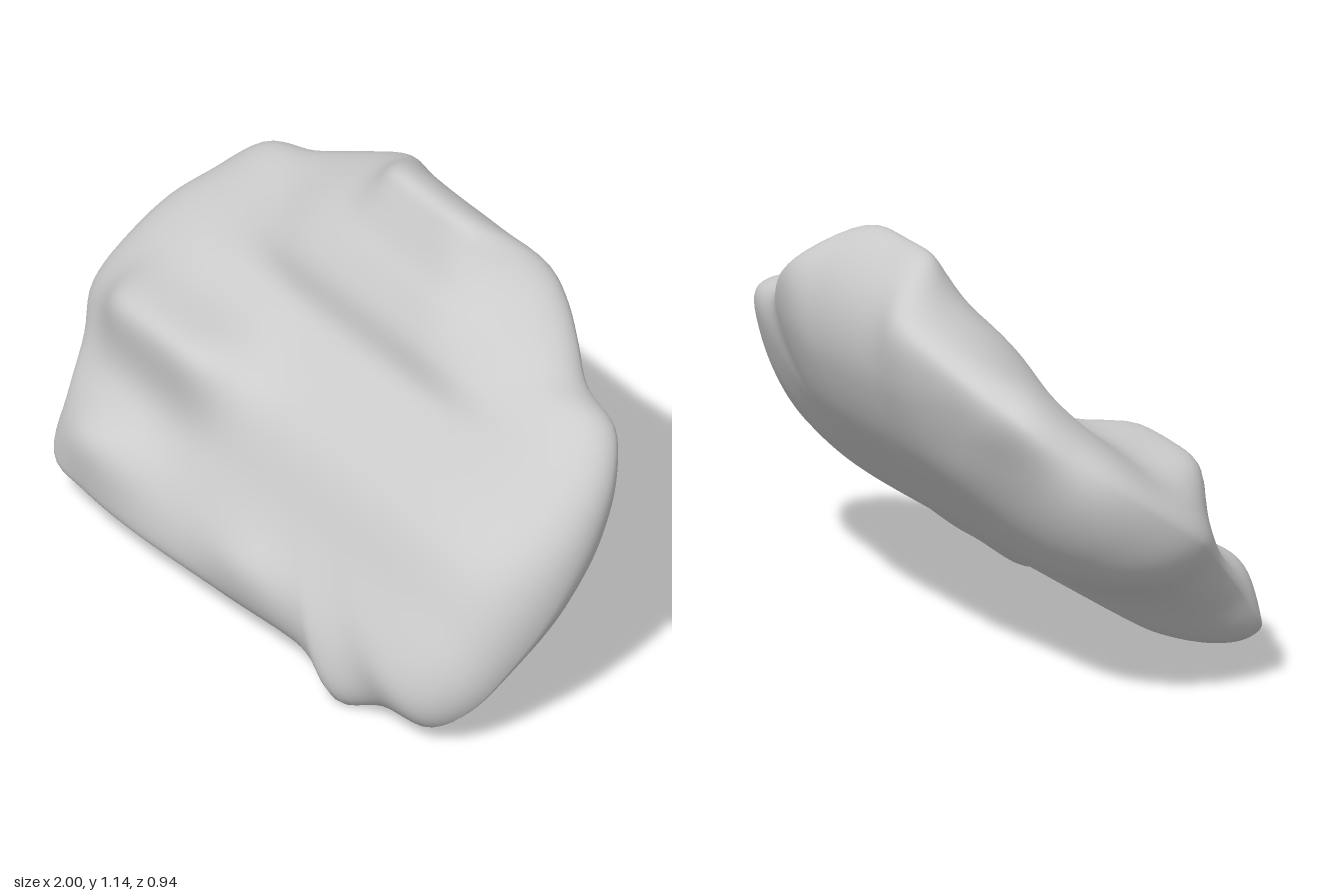
import * as THREE from 'three';

// Rim of the slab, clockwise from the top: x across, s up the slope
const RIM = [
  [0, .69], [.2, .69], [.33, .68], [.45, .62], [.55, .55], [.66, .47], [.84, .42], [.93, .31], [.98, .15],
  [1, -.1], [.98, -.28], [.93, -.45], [.84, -.55], [.66, -.58], [.53, -.64], [.42, -.6], [.33, -.58],
  [0, -.59], [-.4, -.6], [-.6, -.59], [-.76, -.56], [-.83, -.4], [-.9, -.24], [-.98, -.12],
  [-1, .05], [-.98, .2], [-.92, .32], [-.82, .47], [-.65, .53], [-.45, .63], [-.33, .68], [-.2, .69],
];

// Smooth profile through values evenly spaced from s = -0.7 to 0.7
function profile(values) {
  const curve = new THREE.SplineCurve(values.map((v, i) => new THREE.Vector2(i, v)));
  return (s) => curve.getPoint(THREE.MathUtils.clamp((s + .7) / 1.4, 0, 1)).y;
}
const frontFace = profile([.12, .155, .175, .2, .155, .12, .09, .06]);
const ledge = profile([0, 0, 0, 0, 0, 0, 0, 0, 0, 0, .065, .09, .085, .06, .03]);
const peak = profile([0, 0, 0, 0, 0, 0, 0, 0, 0, 0, 0, .005, .03, .11, .24]);
const backFace = profile([-.05, -.085, -.12, -.185, -.205, -.21, -.17, -.12]);

const { lerp, smoothstep } = THREE.MathUtils;
const plateau = (x, w) => 1 / (1 + Math.pow(x / w, 6));
const bell = (t, w) => Math.exp(-((t / w) ** 2));

// Height of the front surface above the slab's middle plane
function front(x, s) {
  return frontFace(s)
    + ledge(s) * plateau(x, .47)
    + peak(s) * plateau(x - .03, .27)
    + .115 * plateau(x + .52, .28) * bell(s + .08, .12)
    + .08 * bell(x + .6, .22) * bell(s + .46, .12)
    + .04 * bell(x - .1, .18) * bell(s + .5, .1);
}

// Height of the back surface: shallower near the upper ends and the lower right corner
function back(x, s) {
  return backFace(s)
    + .07 * (1 - plateau(x, .52)) * smoothstep(s, .05, .4)
    + .04 * smoothstep(-x, .45, .8) * smoothstep(-s, 0, .3);
}

// Height of the rim line between front and back
function middle(x, s) {
  const top = -.03 + .15 * plateau(x - .03, .27);
  const bottom = .05 - .09 * x;
  return lerp(bottom, top, smoothstep(s, -.4, .5));
}

function slabGeometry(rings = 72, sides = 180) {
  const rim = new THREE.CatmullRomCurve3(
    RIM.map(([x, s]) => new THREE.Vector3(x, s, 0)), true).getSpacedPoints(sides);
  const pos = [], index = [];
  const add = (x, s, n) => pos.push(x, .5 + .773 * s + .634 * n, -.634 * s + .773 * n);

  // Rings run from the front centre over the rim to the back centre
  add(0, 0, front(0, 0));
  for (let i = 1; i < rings; i++) {
    const a = Math.PI * i / rings;
    const r = Math.sin(a);
    const k = Math.sqrt(Math.max(0, 1 - r ** 7));
    for (let j = 0; j < sides; j++) {
      const x = rim[j].x * r, s = rim[j].y * r;
      const face = a < Math.PI / 2 ? front(x, s) : back(x, s);
      add(x, s, lerp(middle(x, s), face, k));
    }
  }
  add(0, 0, back(0, 0));

  const last = 1 + (rings - 1) * sides;
  const id = (i, j) => i === 0 ? 0 : i === rings ? last : 1 + (i - 1) * sides + j % sides;
  for (let i = 0; i < rings; i++) {
    for (let j = 0; j < sides; j++) {
      if (i < rings - 1) index.push(id(i, j), id(i + 1, j + 1), id(i + 1, j));
      if (i > 0) index.push(id(i, j), id(i, j + 1), id(i + 1, j + 1));
    }
  }
  const geo = new THREE.BufferGeometry();
  geo.setAttribute('position', new THREE.Float32BufferAttribute(pos, 3));
  geo.setIndex(index);

  // Centre the slab and stand it on the ground
  geo.computeBoundingBox();
  const { min, max } = geo.boundingBox;
  geo.translate(-(min.x + max.x) / 2, -min.y, -(min.z + max.z) / 2);
  geo.computeVertexNormals();
  return geo;
}

export function createModel() {
  const group = new THREE.Group();
  group.name = 'leaningRock';
  const slab = new THREE.Mesh(slabGeometry(), new THREE.MeshStandardMaterial({ color: 0xcccccc }));
  slab.name = 'rockSlab';
  group.add(slab);
  return group;
}
